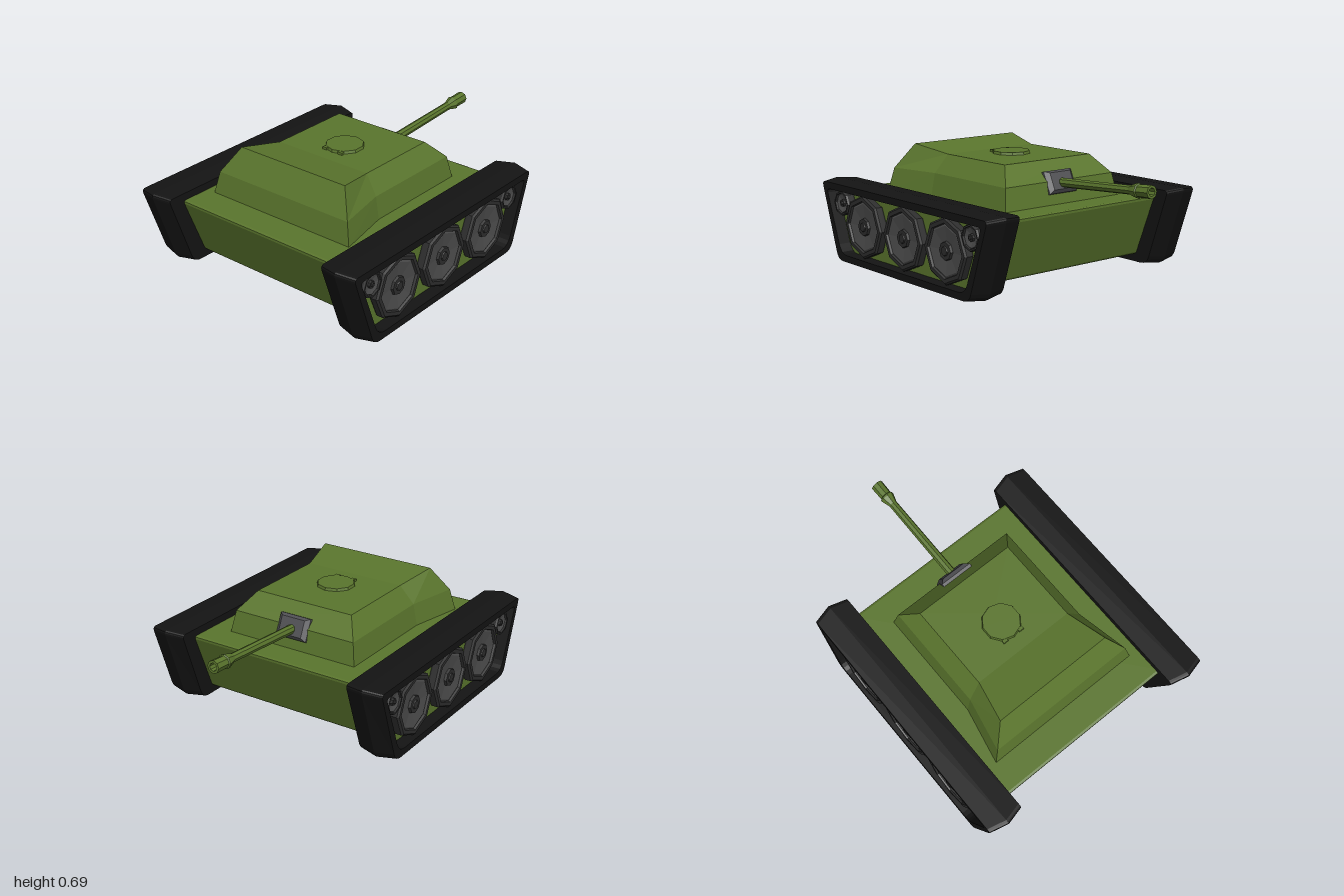
import * as THREE from 'three';

const paint = (color) => new THREE.MeshStandardMaterial({ color, flatShading: true });
const GREEN = paint(0x5a752d), RUBBER = paint(0x141414), TYRE = paint(0x2d2d2d);
const STEEL = paint(0x4c4c4c), GUNMETAL = paint(0x505054);
const MID_Z = 0.187; // centre of hull and tracks

function add(parent, name, geometry, material) {
  const mesh = new THREE.Mesh(geometry, material);
  mesh.name = name;
  parent.add(mesh);
  return mesh;
}

// Skin over rings of points, each counter-clockwise about the direction of travel
function loft(rings, capStart = true, capEnd = true) {
  const pos = [], n = rings[0].length;
  const tri = (a, b, c) => pos.push(...a, ...b, ...c);
  const centre = (ring) => [0, 1, 2].map((k) => ring.reduce((s, p) => s + p[k], 0) / n);
  for (let i = 0; i < rings.length - 1; i++) {
    for (let j = 0; j < n; j++) {
      const k = (j + 1) % n, A = rings[i], B = rings[i + 1];
      tri(A[j], A[k], B[k]);
      tri(A[j], B[k], B[j]);
    }
  }
  const first = rings[0], last = rings[rings.length - 1];
  for (let j = 0; j < n; j++) {
    const k = (j + 1) % n;
    if (capStart) tri(centre(first), first[k], first[j]);
    if (capEnd) tri(centre(last), last[j], last[k]);
  }
  const g = new THREE.BufferGeometry();
  g.setAttribute('position', new THREE.Float32BufferAttribute(pos, 3));
  g.computeVertexNormals();
  return g;
}

// Trapezoid with rounded corners in the plane at x
function trapezoid(x, halfTop, halfBottom, y0, y1, rTop, rBottom, steps = 4) {
  const c = [[y1, halfTop, rTop], [y0, halfBottom, rBottom], [y0, -halfBottom, rBottom], [y1, -halfTop, rTop]]
    .map(([y, z, r]) => ({ p: new THREE.Vector2(y, z), r }));
  const pts = [];
  c.forEach(({ p, r }, i) => {
    const toward = (q) => q.clone().sub(p).setLength(r).add(p);
    const curve = new THREE.QuadraticBezierCurve(toward(c[(i + 3) % 4].p), p, toward(c[(i + 1) % 4].p));
    curve.getPoints(steps).forEach((q) => pts.push([x, q.x, q.y]));
  });
  return pts;
}

// Eight-sided turned part; profile pairs are [radius, distance along axis]
const turned = (profile, sides = 8) =>
  new THREE.LatheGeometry(profile.map(([r, t]) => new THREE.Vector2(r, t)), sides);

// Road wheel whose axle points along +x
function makeWheel(name, r) {
  const wheel = new THREE.Group();
  wheel.name = name;
  const tyre = turned([[r * 0.97, 0], [r, 0.01], [r, 0.045], [r * 0.94, 0.055], [r * 0.82, 0.055], [r * 0.79, 0.04]]);
  const disc = turned([[r * 0.82, 0.04], [r * 0.74, 0.046], [r * 0.3, 0.036], [0, 0.036]]);
  const hub = turned([[r * 0.3, 0.03], [r * 0.27, 0.05], [r * 0.15, 0.05], [r * 0.13, 0.056], [0, 0.056]]);
  [['tyre', tyre, TYRE], ['disc', disc, STEEL], ['hub', hub, TYRE]].forEach(([n, g, m]) =>
    add(wheel, n, g.rotateZ(-Math.PI / 2), m));
  return wheel;
}

// Track with ridged tread, recessed side plate and wheels; outer side is +x
function makeTrack(name) {
  const track = new THREE.Group();
  track.name = name;
  const edge = (x) => trapezoid(x, 0.785, 0.63, 0.01, 0.465, 0.03, 0.05);
  const hole = (x) => trapezoid(x, 0.735, 0.595, 0.05, 0.425, 0.025, 0.06);
  add(track, 'tread', loft([
    edge(0.545),
    trapezoid(0.655, 0.813, 0.655, 0, 0.475, 0.03, 0.05),
    edge(0.765), hole(0.765), hole(0.69),
  ], true, false), RUBBER);
  add(track, 'sidePlate', loft([hole(0.66), hole(0.69)]), GREEN);
  for (const z of [-0.393, 0, 0.393]) {
    const w = makeWheel('roadWheel', 0.187);
    w.position.set(0.69, 0.24, z);
    track.add(w);
  }
  for (const z of [-0.615, 0.615]) {
    const w = makeWheel('guideWheel', 0.076);
    w.position.set(0.69, 0.35, z);
    track.add(w);
  }
  track.position.z = MID_Z;
  return track;
}

// One level of the turret; stations are [halfWidth, y, z] from +z to -z
const turretRing = (s) => [
  ...s.map(([x, y, z]) => [x, y, z]),
  ...[...s].reverse().map(([x, y, z]) => [-x, y, z]),
];

export function createModel() {
  const model = new THREE.Group();
  model.name = 'tank';

  // Hull with sloped ends and small bevels
  const hullEnd = (x) => trapezoid(x, 0.682, 0.54, 0.055, 0.422, 0.02, 0.015, 2);
  add(model, 'hull', loft([hullEnd(-0.56), hullEnd(0.56)]), GREEN).position.z = MID_Z;

  // Tracks, the second turned half round
  model.add(makeTrack('leftTrack'));
  const right = makeTrack('rightTrack');
  right.rotation.y = Math.PI;
  model.add(right);

  // Turret in three levels, flared and raised at the +z end
  const base = turretRing([[0.49, 0.415, 0.685], [0.42, 0.415, 0.35], [0.42, 0.415, -0.322]]);
  const waist = turretRing([[0.46, 0.55, 0.66], [0.395, 0.55, 0.345], [0.395, 0.55, -0.295]]);
  const roof = turretRing([[0.37, 0.695, 0.572], [0.315, 0.655, 0.325], [0.315, 0.655, -0.19]]);
  const turret = add(model, 'turret', loft([base, waist, roof], true, false), GREEN);
  // Roof panels
  const [a, b, c, d, e, f] = roof;
  add(turret, 'rearRoof', loft([[a, b, e, f]], false, true), GREEN);
  add(turret, 'mainRoof', loft([[b, c, d, e]], false, true), GREEN);

  // Hatch with two hinges
  const hatch = add(model, 'hatch', new THREE.CylinderGeometry(0.108, 0.115, 0.025, 10), GREEN);
  hatch.position.set(0, 0.658, 0.133);
  for (const x of [-0.055, 0.055]) {
    const hinge = add(model, 'hatchHinge', new THREE.BoxGeometry(0.03, 0.018, 0.02), GREEN);
    hinge.position.set(x, 0.66, 0.232);
  }

  // Gun mount: a bevelled plate leaning on the sloped face
  const plate = (w, h, z) => [[w, h, z], [-w, h, z], [-w, -h, z], [w, -h, z]];
  const mount = add(model, 'gunMount', loft([
    plate(0.075, 0.05, -0.03), plate(0.1, 0.066, -0.01), plate(0.1, 0.066, 0.04),
  ]), GUNMETAL);
  mount.position.set(0, 0.54, -0.284);
  mount.rotation.x = 0.43;

  // Gun barrel with flared collar and hollow muzzle
  const barrel = add(model, 'gunBarrel', turned([
    [0.027, 0], [0.025, 0.575], [0.041, 0.625], [0.041, 0.635], [0.035, 0.64],
    [0.037, 0.727], [0.023, 0.727], [0.021, 0.66], [0, 0.66],
  ]), GREEN);
  barrel.position.set(0, 0.536, -0.272);
  barrel.rotation.x = -(Math.PI / 2 - 0.061);

  return model;
}
